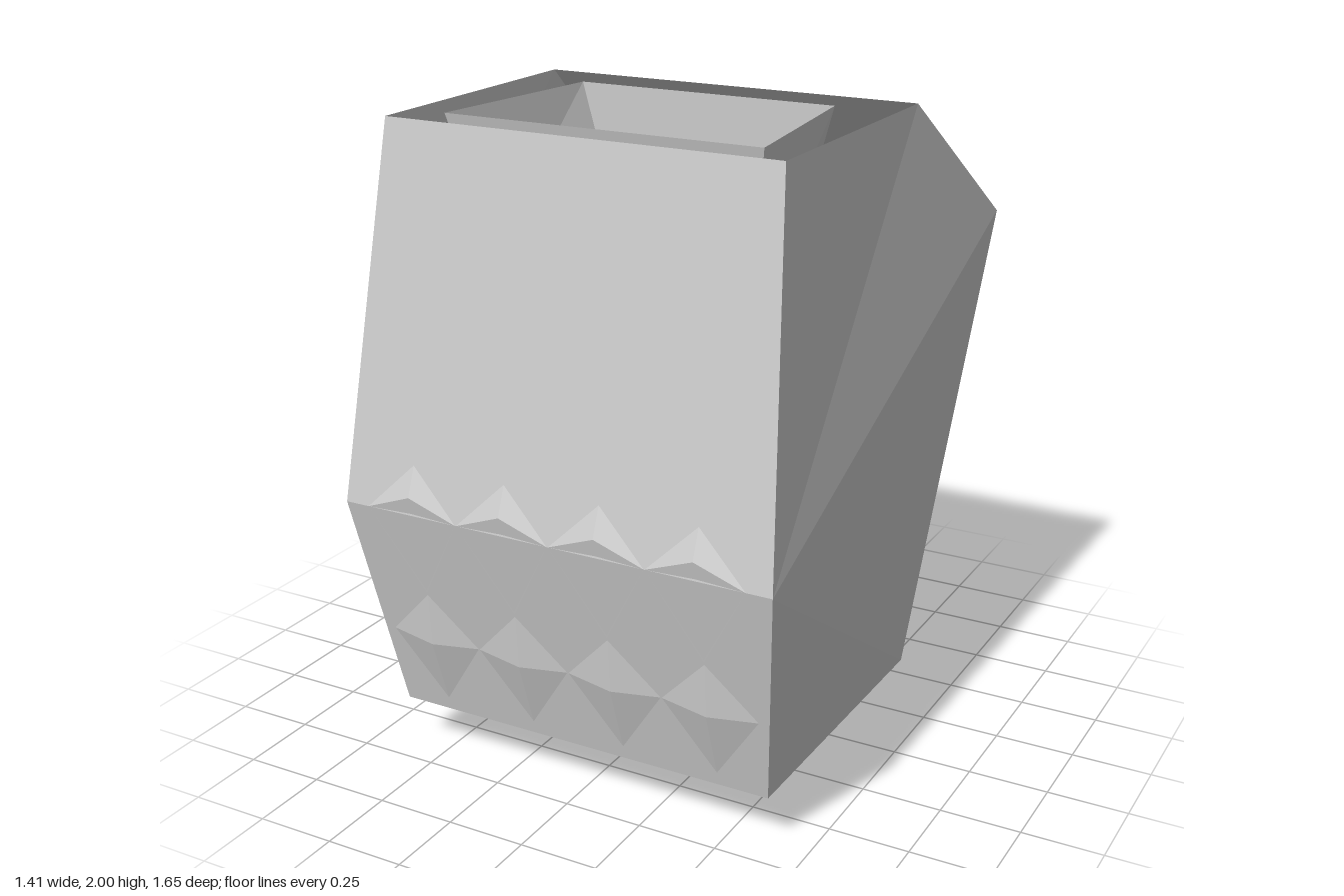
import * as THREE from 'three';

const material = new THREE.MeshStandardMaterial({
  color: 0xcccccc, flatShading: true, side: THREE.DoubleSide,
});

// Mesh from a list of triangles, each three [x, y, z] corners
function facetMesh(name, triangles) {
  const geometry = new THREE.BufferGeometry();
  geometry.setAttribute('position', new THREE.Float32BufferAttribute(triangles.flat(2), 3));
  geometry.computeVertexNormals();
  const mesh = new THREE.Mesh(geometry, material);
  mesh.name = name;
  return mesh;
}

// Four-cornered ring, given as [half width, y, z] at the front and at the back
function ring([fx, fy, fz], [bx, by, bz]) {
  return [[fx, fy, fz], [bx, by, bz], [-bx, by, bz], [-fx, fy, fz]];
}

// Open walls between successive rings, with mirrored folds on the two sides
function loft(name, rings) {
  const triangles = [];
  for (let i = 0; i < rings.length - 1; i++) {
    for (let k = 0; k < 4; k++) {
      const n = (k + 1) % 4;
      const a = rings[i][k], b = rings[i][n];
      const c = rings[i + 1][k], d = rings[i + 1][n];
      if ((k === 0) !== (i === 1)) triangles.push([a, c, b], [b, c, d]);
      else triangles.push([a, c, d], [a, d, b]);
    }
  }
  return facetMesh(name, triangles);
}

// Row of four shallow diamond bumps; points are [y, z]
function studRow(name, halfWidth, top, middle, bottom, apex, facing) {
  const row = new THREE.Group();
  row.name = name;
  for (const x of [-0.47, -0.157, 0.157, 0.47]) {
    const peak = [x, ...apex];
    const rim = [
      [x, ...top], [x - facing * halfWidth, ...middle],
      [x, ...bottom], [x + facing * halfWidth, ...middle],
    ];
    row.add(facetMesh('stud', rim.map((p, i) => [p, rim[(i + 1) % 4], peak])));
  }
  return row;
}

export function createModel() {
  const model = new THREE.Group();
  model.name = 'facetedVessel';

  // Outer shell, open at the top, folding inward to a hole in the floor
  model.add(loft('outerShell', [
    ring([0.63, 2, 0.63], [0.63, 2, -0.27]),
    ring([0.705, 0.87, 0.82], [0.705, 1.57, -0.82]),
    ring([0.63, 0.16, 0.67], [0.67, 0.2, -0.23]),
    ring([0.29, 0, 0.36], [0.29, 0.04, -0.12]),
  ]));

  // Tapered sleeve hanging inside the mouth
  model.add(loft('innerSleeve', [
    ring([0.51, 2, 0.51], [0.43, 2, -0.12]),
    ring([0.43, 1.57, 0.4], [0.31, 1.57, -0.12]),
  ]));

  // Faceted relief on the front and back
  model.add(
    studRow('frontRidgeStuds', 0.155, [1.02, 0.795], [0.87, 0.82], [0.6, 0.763], [0.93, 0.83], 1),
    studRow('frontLowerStuds', 0.155, [0.59, 0.761], [0.43, 0.727], [0.2, 0.678], [0.42, 0.75], 1),
    studRow('backStuds', 0.13, [1.45, -0.768], [1.33, -0.717], [1.08, -0.609], [1.34, -0.75], -1),
    studRow('backSlopeStuds', 0.155, [1.95, -0.334], [1.8, -0.526], [1.62, -0.756], [1.81, -0.54], -1),
  );
  return model;
}
